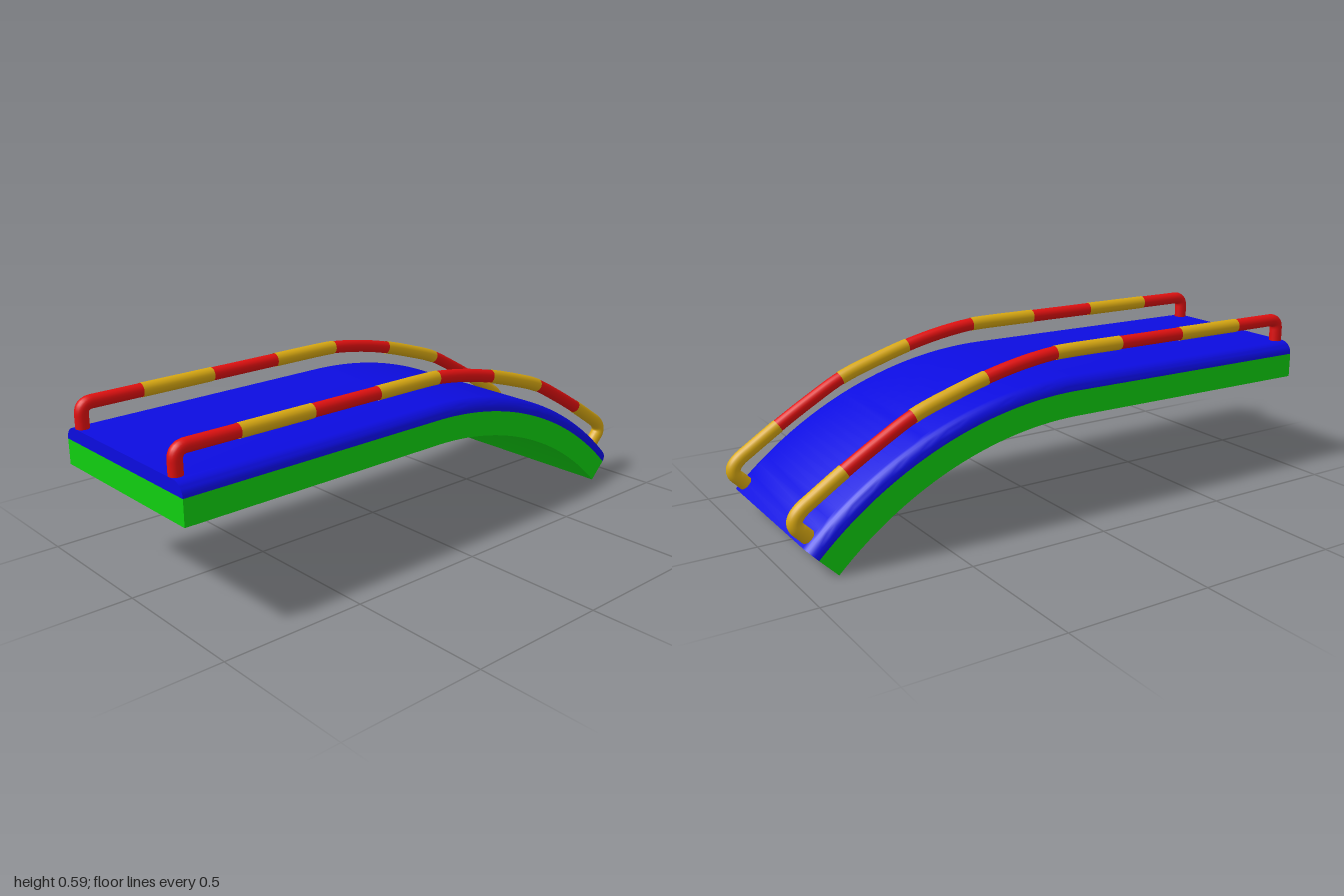
import * as THREE from 'three';
import { toCreasedNormals } from 'three/addons/utils/BufferGeometryUtils.js';

const HALF_WIDTH = 0.336;
const RADIUS = 1.37, TOP = 0.487, BEND = 0.777; // curved end of the deck

function flatMaterial(name, color, side = THREE.FrontSide) {
  const material = new THREE.MeshStandardMaterial({ color, side });
  material.name = name;
  return material;
}

// Stations along the deck top: a nearly level run, then an arc down to the back
function deckStations() {
  const stations = [{ z: 1, y: 0.481, a: 0 }];
  const steps = 28;
  for (let i = 0; i <= steps; i++) {
    const a = BEND * i / steps;
    stations.push({ z: -RADIUS * Math.sin(a), y: TOP - RADIUS * (1 - Math.cos(a)), a });
  }
  return stations;
}

// Sweeps a convex profile of [x, height] points (counterclockwise) along the deck
function sweepLayer(profile) {
  const positions = [], index = [];
  const stations = deckStations();
  const n = profile.length;
  for (const s of stations) {
    for (const [x, h] of profile) {
      positions.push(x, s.y + h * Math.cos(s.a), s.z - h * Math.sin(s.a));
    }
  }
  for (let i = 0; i < stations.length - 1; i++) {
    for (let j = 0; j < n; j++) {
      const k = (j + 1) % n;
      const a = i * n + j, b = i * n + k, c = b + n, d = a + n;
      index.push(a, d, c, a, c, b);
    }
  }
  const last = (stations.length - 1) * n;
  for (let j = 1; j < n - 1; j++) {
    index.push(0, j, j + 1, last, last + j + 1, last + j);
  }
  const geometry = new THREE.BufferGeometry();
  geometry.setAttribute('position', new THREE.Float32BufferAttribute(positions, 3));
  geometry.setIndex(index);
  return toCreasedNormals(geometry, 0.5);
}

// A stretch of a longer curve, measured by arc length
class CurvePart extends THREE.Curve {
  constructor(base, from, to) {
    super();
    Object.assign(this, { base, from, to });
  }
  getPoint(t, target = new THREE.Vector3()) {
    return this.base.getPointAt(this.from + (this.to - this.from) * t, target);
  }
}

function railPath() {
  const v = (z, y) => new THREE.Vector3(0, y, z);
  const path = new THREE.CurvePath();
  const corner = v(0.939, 0.5615), flatEnd = v(0.03, 0.566);
  const slope = v(-0.925, 0.227), hookEnd = v(-0.958, 0.142);
  path.add(new THREE.LineCurve3(v(0.977, 0.46), v(0.977, 0.525)));
  path.add(new THREE.QuadraticBezierCurve3(v(0.977, 0.525), v(0.977, 0.5615), corner));
  path.add(new THREE.LineCurve3(corner, flatEnd));
  path.add(new THREE.CatmullRomCurve3([
    flatEnd, v(-0.05, 0.564), v(-0.18, 0.547), v(-0.313, 0.518),
    v(-0.44, 0.481), v(-0.57, 0.436), v(-0.69, 0.372), v(-0.81, 0.301), slope,
  ]));
  path.add(new THREE.QuadraticBezierCurve3(slope, v(-1.004, 0.18), hookEnd));
  path.add(new THREE.LineCurve3(hookEnd, v(-0.922, 0.104)));
  path.curves.forEach((c) => { c.arcLengthDivisions = 400; });
  path.arcLengthDivisions = 2000;
  return path;
}

// Fraction of the rail's length at which it passes a given z
function fractionAtZ(path, z) {
  let lo = 0.06, hi = 0.95;
  for (let i = 0; i < 30; i++) {
    const mid = (lo + hi) / 2;
    if (path.getPointAt(mid).z > z) lo = mid; else hi = mid;
  }
  return lo;
}

function makeRail(name, x, red, gold) {
  const rail = new THREE.Group();
  rail.name = name;
  const path = railPath();
  const cuts = [0.763, 0.49, 0.222, -0.046, -0.313, -0.575, -0.81];
  const stops = [0, ...cuts.map((z) => fractionAtZ(path, z)), 1];
  for (let i = 0; i < stops.length - 1; i++) {
    const isRed = i % 2 === 0;
    // red sleeves run slightly inside their gold neighbours
    const lap = isRed ? 0.004 : 0;
    const part = new CurvePart(path, Math.max(0, stops[i] - lap), Math.min(1, stops[i + 1] + lap));
    const ends = i === 0 || i === stops.length - 2;
    const tube = new THREE.TubeGeometry(part, ends ? 48 : 12, isRed ? 0.0228 : 0.0242, 20);
    const mesh = new THREE.Mesh(tube, isRed ? red : gold);
    mesh.name = isRed ? 'redRailSection' : 'goldRailSection';
    rail.add(mesh);
  }
  rail.position.x = x;
  return rail;
}

export function createModel() {
  const green = flatMaterial('green', 0x10d010);
  const blue = flatMaterial('blue', 0x0c0ce0);
  const red = flatMaterial('red', 0xe01010, THREE.DoubleSide);
  const gold = flatMaterial('gold', 0xd8a812, THREE.DoubleSide);

  const model = new THREE.Group();
  model.name = 'curvedRamp';

  // Green base slab
  const w = HALF_WIDTH, seam = -0.045, bottom = -0.132;
  const base = new THREE.Mesh(sweepLayer([[-w, bottom], [w, bottom], [w, seam], [-w, seam]]), green);
  base.name = 'base';

  // Blue walking surface with rounded long edges
  const r = 0.045, profile = [];
  for (const side of [1, -1]) {
    for (let i = 0; i <= 8; i++) {
      const a = (side > 0 ? i : 8 - i) / 8 * Math.PI / 2;
      profile.push([side * (w - r + r * Math.cos(a)), seam + r * Math.sin(a)]);
    }
  }
  const surface = new THREE.Mesh(sweepLayer(profile), blue);
  surface.name = 'walkingSurface';

  // Striped handrails
  model.add(base, surface,
    makeRail('leftRail', 0.268, red, gold),
    makeRail('rightRail', -0.275, red, gold));
  return model;
}
